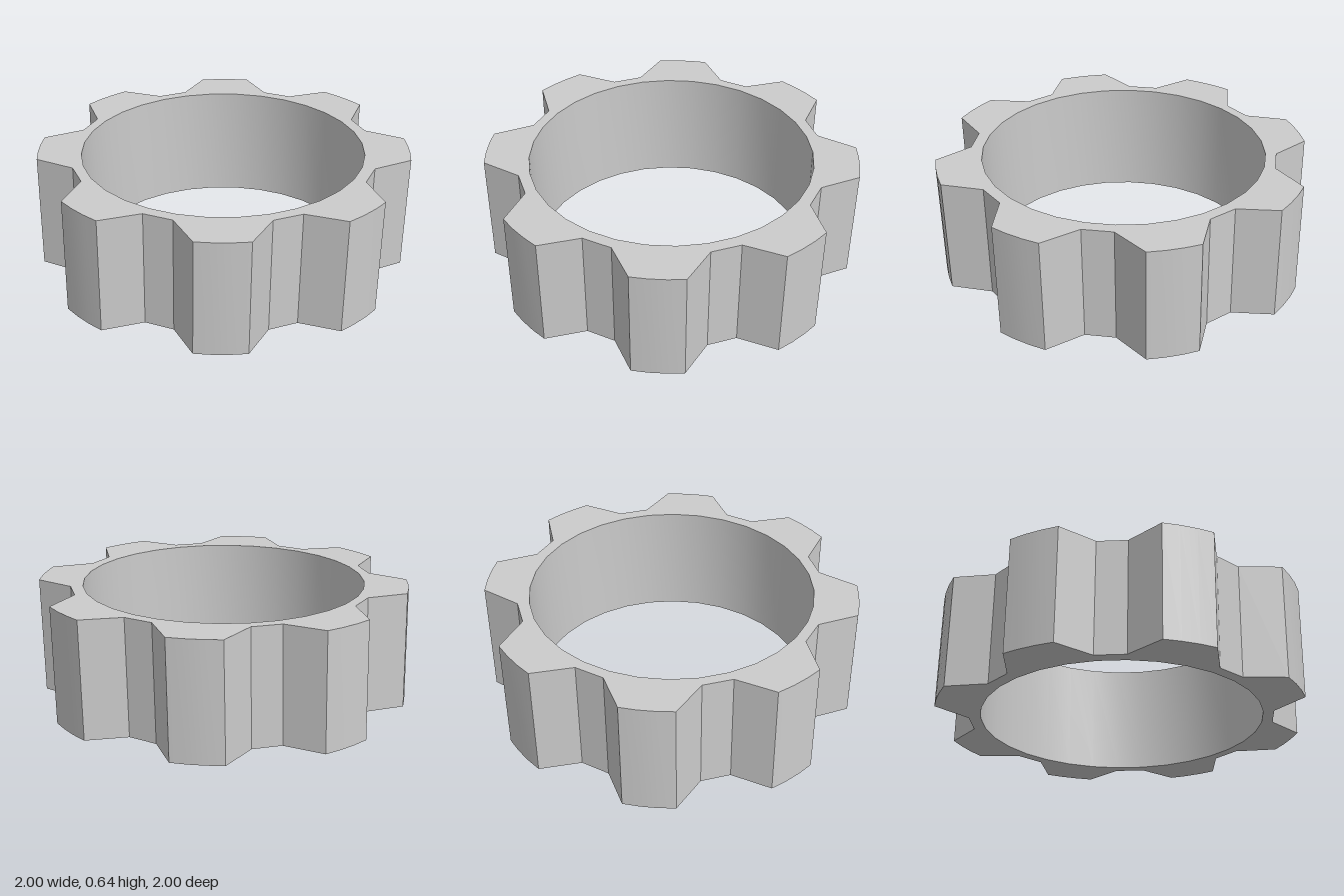
import * as THREE from 'three';
import { toCreasedNormals } from 'three/addons/utils/BufferGeometryUtils.js';

const TEETH = 8, HEIGHT = 0.64;
const ROOT = 0.83, TIP = 1.009, BORE = 0.768;
const LEAN = 0.0035; // tiny sideways lean of the toothed wall

const polar = (radius, degrees) => {
  const a = THREE.MathUtils.degToRad(degrees);
  return new THREE.Vector2(radius * Math.cos(a), radius * Math.sin(a));
};

export function createModel() {
  const group = new THREE.Group();
  group.name = 'gearRing';

  // Outline: a flat root, then a tooth with a rounded tip in three facets
  const outline = [];
  for (let i = 0; i < TEETH; i++) {
    const start = i * 360 / TEETH;
    for (const d of [0, 11.25]) outline.push(polar(ROOT, start + d));
    for (const d of [20.25, 25.5, 30.75, 36]) outline.push(polar(TIP, start + d));
  }

  // Round bore with 32 sides
  const bore = [];
  for (let i = 0; i < 32; i++) bore.push(polar(BORE, -i * 11.25));

  const shape = new THREE.Shape(outline);
  shape.holes.push(new THREE.Path(bore));

  let geometry = new THREE.ExtrudeGeometry(shape, { depth: HEIGHT, bevelEnabled: false });
  geometry.rotateX(Math.PI / 2);
  geometry.translate(0, HEIGHT, 0);

  // Lean the outer wall slightly, leaving the bore upright
  const p = geometry.attributes.position;
  for (let i = 0; i < p.count; i++) {
    const x = p.getX(i), z = p.getZ(i);
    if (Math.hypot(x, z) < 0.8) continue;
    const shift = p.getY(i) > HEIGHT / 2 ? LEAN : -LEAN;
    p.setX(i, x + shift);
    p.setZ(i, z + shift);
  }

  // Smooth bore and tooth tips, sharp everywhere else
  geometry = toCreasedNormals(geometry, THREE.MathUtils.degToRad(20));

  const ring = new THREE.Mesh(geometry, new THREE.MeshStandardMaterial({ color: 0xcccccc }));
  ring.name = 'toothedRing';
  group.add(ring);
  return group;
}
